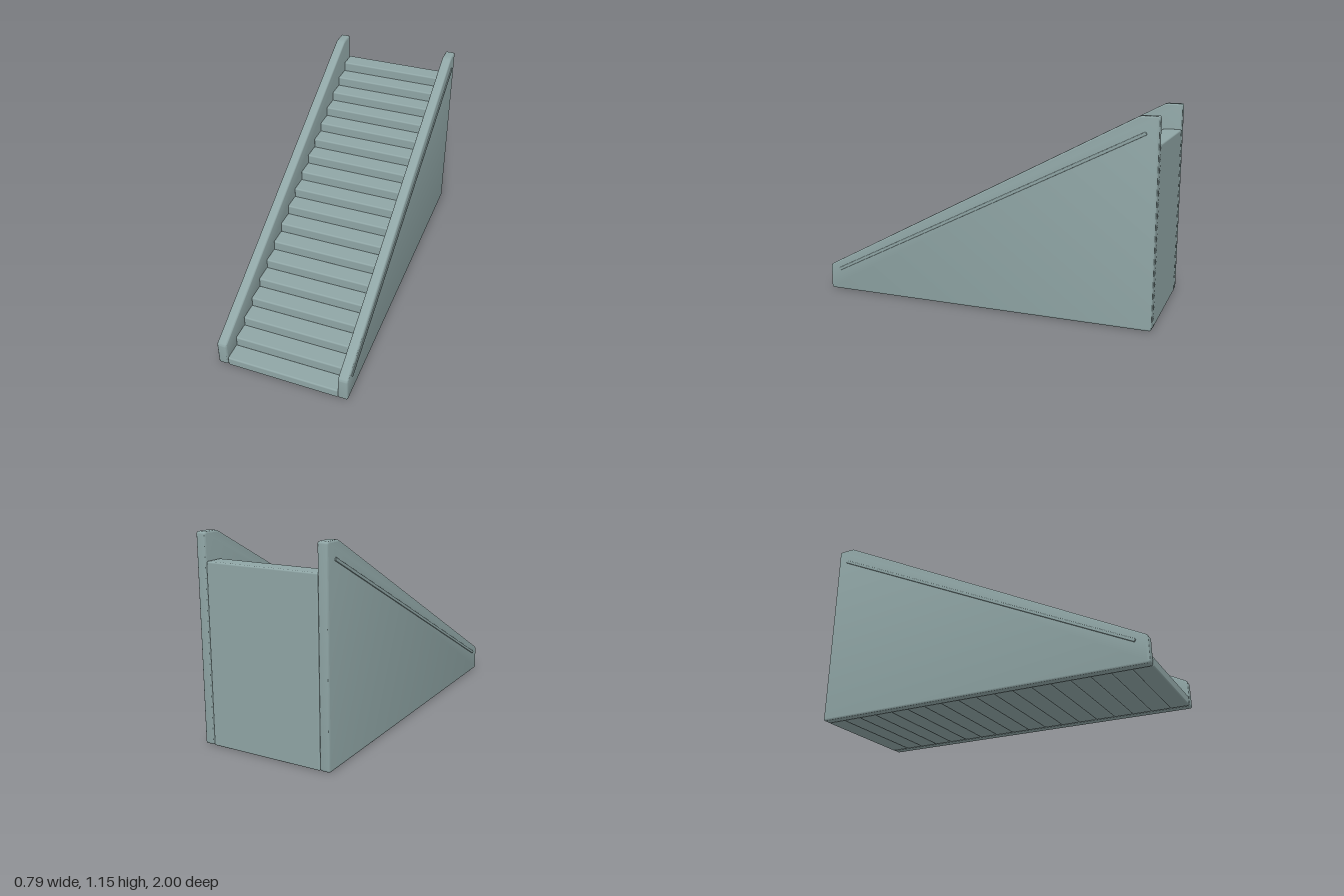
import * as THREE from 'three';
import { toCreasedNormals } from 'three/addons/utils/BufferGeometryUtils.js';
import { RoundedBoxGeometry } from 'three/addons/geometries/RoundedBoxGeometry.js';

const STEPS = 18, TREAD = 2 / STEPS, RISE = 1 / STEPS;
const INNER = 0.333, OUTER = 0.391, BEVEL = 0.009;

// Closed polygon with small rounded corners
function roundedPolygon(points, radius) {
  const shape = new THREE.Shape();
  const pts = points.map(([x, y]) => new THREE.Vector2(x, y));
  pts.forEach((p, i) => {
    const prev = pts[(i + pts.length - 1) % pts.length], next = pts[(i + 1) % pts.length];
    const a = prev.clone().sub(p).setLength(radius).add(p);
    const b = next.clone().sub(p).setLength(radius).add(p);
    if (i === 0) shape.moveTo(a.x, a.y); else shape.lineTo(a.x, a.y);
    shape.quadraticCurveTo(p.x, p.y, b.x, b.y);
  });
  shape.closePath();
  return shape;
}

// Side panel: a (z, y) profile extruded across x, centred on x = 0
function panelGeometry() {
  const shape = roundedPolygon([[1, 0], [1, 0.15], [-0.9, 1.15], [-1, 1.15], [-1, 0]], 0.014);
  const width = OUTER - INNER;
  const geo = new THREE.ExtrudeGeometry(shape, {
    depth: width - 2 * BEVEL, bevelEnabled: true, bevelThickness: BEVEL,
    bevelSize: BEVEL, bevelOffset: -BEVEL, bevelSegments: 3, curveSegments: 4,
  });
  geo.translate(0, 0, -(width - 2 * BEVEL) / 2);
  geo.rotateY(-Math.PI / 2);
  return toCreasedNormals(geo, 0.7);
}

export function createModel() {
  const group = new THREE.Group();
  const stone = new THREE.MeshStandardMaterial({ color: 0x8fa5a5 });
  stone.name = 'greyGreenStone';

  const add = (name, geo, x, y, z) => {
    const mesh = new THREE.Mesh(geo, stone);
    mesh.name = name;
    mesh.position.set(x, y, z);
    group.add(mesh);
    return mesh;
  };

  // Full-height step blocks, rising toward the back
  for (let i = 0; i < STEPS; i++) {
    const h = RISE * (i + 1);
    add(`step${i + 1}`, new RoundedBoxGeometry(2 * INNER, h, TREAD, 3, 0.009),
      0, h / 2, 1 - TREAD * (i + 0.5));
  }

  // Side panels and the thin raised strips on their outer faces
  const panel = panelGeometry();
  const rise = 0.93, run = 1.86;
  const strip = new RoundedBoxGeometry(0.016, 0.018, Math.hypot(rise, run) + 0.01, 2, 0.003);
  for (const [side, s] of [['left', 1], ['right', -1]]) {
    add(`${side}Panel`, panel, s * (INNER + OUTER) / 2, 0, 0);
    add(`${side}Strip`, strip, s * 0.389, 0.595, 0).rotation.x = Math.atan2(rise, run);
  }
  return group;
}
